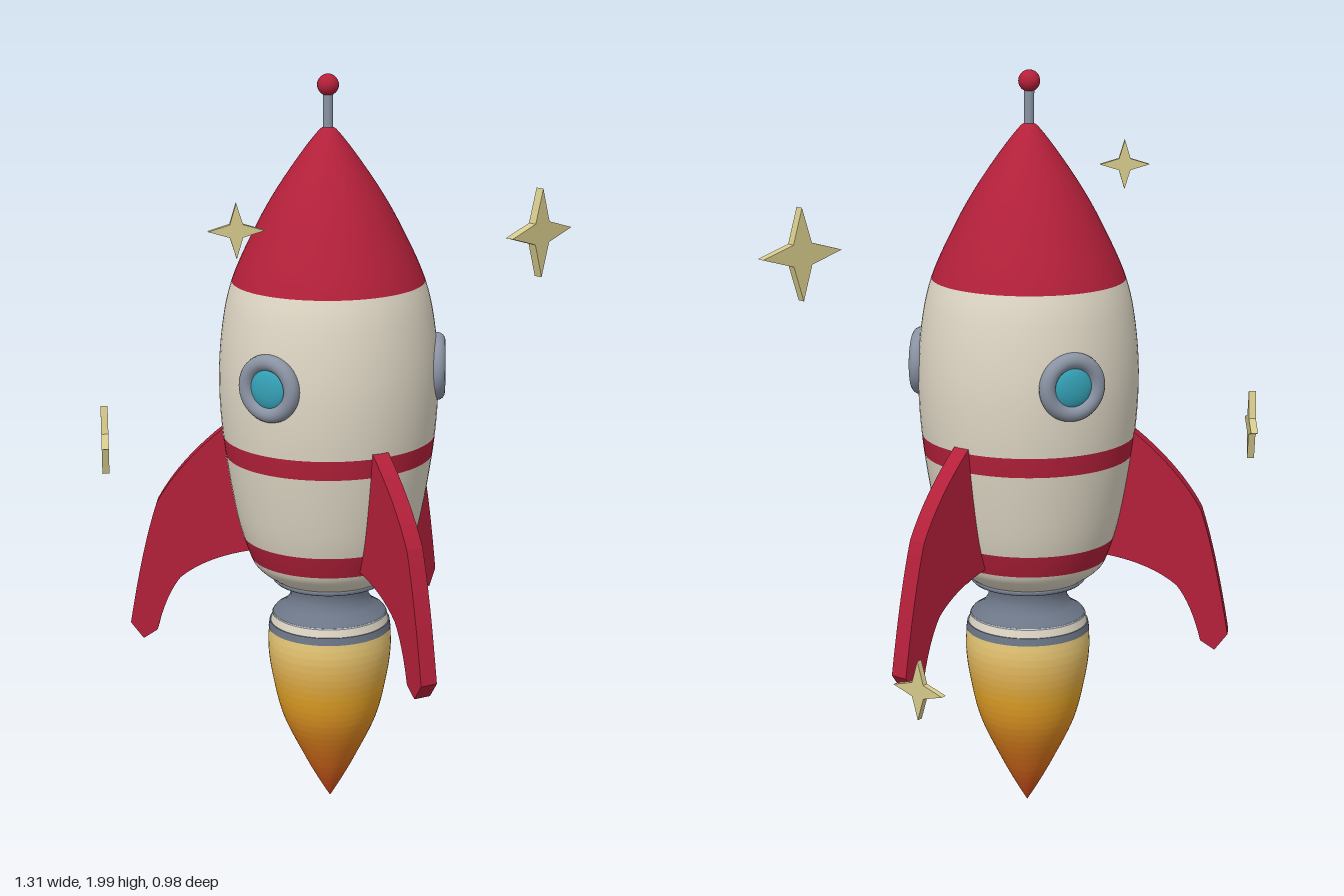
import * as THREE from 'three';

const RED = 0xb4203a, CREAM = 0xe0d8c6, STEEL = 0x8a93a3, DARK = 0x6c7687;
const GLASS = 0x35a3b8, STAR = 0xd6ca8c;

const material = (color) => new THREE.MeshStandardMaterial({ color });

function add(parent, name, geometry, color) {
  const mesh = new THREE.Mesh(geometry, material(color));
  mesh.name = name;
  parent.add(mesh);
  return mesh;
}

// Profiles are [radius, height] pairs, listed from bottom to top
function lathe(points, segments = 64) {
  return new THREE.LatheGeometry(points.map(([r, y]) => new THREE.Vector2(r, y)), segments);
}

// Smooth radius as a function of height
function radiusFunction(points) {
  const samples = new THREE.SplineCurve(points.map(([r, y]) => new THREE.Vector2(r, y))).getPoints(400);
  return (y) => {
    const i = Math.max(1, samples.findIndex((p) => p.y >= y));
    const a = samples[i - 1], b = samples[i];
    const t = THREE.MathUtils.clamp((y - a.y) / (b.y - a.y), 0, 1);
    return Math.max(0, a.x + (b.x - a.x) * t);
  };
}

// One slice of a smooth surface of revolution
function slice(radius, y0, y1, steps) {
  const points = [];
  for (let i = 0; i <= steps; i++) {
    const y = y0 + (y1 - y0) * i / steps;
    points.push([radius(y), y]);
  }
  return lathe(points);
}

function finGeometry() {
  const s = new THREE.Shape();
  s.moveTo(0.2, 1.07);
  s.lineTo(0.275, 1.07);
  s.quadraticCurveTo(0.4, 0.97, 0.46, 0.86);
  s.quadraticCurveTo(0.5, 0.74, 0.537, 0.52);
  s.lineTo(0.503, 0.475);
  s.lineTo(0.465, 0.5);
  s.quadraticCurveTo(0.44, 0.6, 0.4, 0.65);
  s.quadraticCurveTo(0.33, 0.71, 0.2, 0.73);
  s.closePath();
  const g = new THREE.ExtrudeGeometry(s, { depth: 0.046, bevelEnabled: false, curveSegments: 8 });
  g.translate(0, 0, -0.023);
  g.rotateY(-Math.PI / 2); // outward along +z
  return g;
}

function starGeometry(size) {
  const s = new THREE.Shape();
  for (let i = 0; i < 8; i++) {
    const r = i % 2 ? size * 0.33 : size;
    const a = i * Math.PI / 4;
    s[i ? 'lineTo' : 'moveTo'](r * Math.cos(a), r * Math.sin(a));
  }
  s.closePath();
  const depth = size * 0.2;
  return new THREE.ExtrudeGeometry(s, { depth, bevelEnabled: false }).translate(0, 0, -depth / 2);
}

export function createModel() {
  const model = new THREE.Group();
  model.name = 'rocketWithStars';
  const rocket = new THREE.Group();
  rocket.name = 'rocket';
  rocket.position.set(-0.053, 0, -0.047);
  model.add(rocket);

  // Hull: one smooth profile cut into coloured bands
  const hull = radiusFunction([
    [0.15, 0.655], [0.19, 0.685], [0.212, 0.72], [0.245, 0.83], [0.278, 1.03], [0.289, 1.2],
    [0.278, 1.35], [0.251, 1.47], [0.192, 1.6], [0.136, 1.7], [0.068, 1.8], [0.02, 1.86], [0, 1.872],
  ]);
  [
    ['hullBase', 0.655, 0.715, 8, CREAM],
    ['lowerStripe', 0.715, 0.775, 4, RED],
    ['lowerHull', 0.775, 1.0, 12, CREAM],
    ['upperStripe', 1.0, 1.052, 4, RED],
    ['upperHull', 1.052, 1.465, 20, CREAM],
    ['noseCone', 1.465, 1.872, 32, RED],
  ].forEach(([name, y0, y1, steps, color]) => add(rocket, name, slice(hull, y0, y1, steps), color));

  // Antenna
  add(rocket, 'antennaRod', new THREE.CylinderGeometry(0.013, 0.013, 0.11, 16), STEEL).position.y = 1.905;
  add(rocket, 'antennaBall', new THREE.SphereGeometry(0.028, 24, 16), RED).position.y = 1.972;

  // Engine
  add(rocket, 'baseRim', lathe([[0.08, 0.643], [0.146, 0.643], [0.153, 0.65], [0.153, 0.658], [0.146, 0.666]]), STEEL);
  add(rocket, 'nozzle', lathe([[0.155, 0.55], [0.148, 0.56], [0.12, 0.577], [0.105, 0.6], [0.105, 0.625], [0.112, 0.65]]), DARK);
  add(rocket, 'nozzleBand', new THREE.CylinderGeometry(0.153, 0.16, 0.028, 64), CREAM).position.y = 0.54;
  add(rocket, 'nozzleRing', new THREE.CylinderGeometry(0.162, 0.165, 0.02, 64), DARK).position.y = 0.52;

  // Flame: fades from pale yellow at the nozzle to red at the tip
  const flame = radiusFunction([
    [0, 0.01], [0.03, 0.06], [0.068, 0.13], [0.127, 0.255], [0.155, 0.37], [0.166, 0.45], [0.164, 0.512],
  ]);
  const stops = [0xd0401c, 0xe07a1c, 0xe8a828, 0xe8cc7c].map((c) => new THREE.Color(c));
  const bands = 24;
  for (let i = 0; i < bands; i++) {
    const y0 = 0.01 + 0.502 * i / bands;
    const t = (i + 0.5) / bands * 3, k = Math.floor(t);
    const color = stops[k].clone().lerp(stops[k + 1], t - k);
    add(rocket, 'flameBand' + (i + 1), slice(flame, y0, y0 + 0.502 / bands, 2), color);
  }

  // Three fins, with a porthole midway between each pair
  for (let i = 0; i < 3; i++) {
    const angle = i * Math.PI * 2 / 3;
    add(rocket, 'fin' + (i + 1), finGeometry(), RED).rotation.y = angle;

    const porthole = new THREE.Group();
    porthole.name = 'porthole' + (i + 1);
    const a = angle + Math.PI / 3;
    porthole.position.set(Math.sin(a) * 0.285, 1.235, Math.cos(a) * 0.285);
    porthole.rotation.y = a;
    add(porthole, 'portholeFrame', new THREE.TorusGeometry(0.068, 0.021, 16, 48), STEEL);
    const glass = add(porthole, 'portholeGlass', new THREE.SphereGeometry(0.056, 32, 16), GLASS);
    glass.scale.z = 0.35;
    rocket.add(porthole);
  }

  // Stars floating around: position, half size, turn
  [
    [0.535, 1.55, 0.045, 0.12, 0.29],
    [-0.475, 1.69, 0.28, 0.068, -0.36],
    [-0.615, 1.06, -0.235, 0.092, 1.18],
    [0.395, 0.52, -0.42, 0.078, -1.04],
  ].forEach(([x, y, z, size, turn], i) => {
    const star = add(model, 'star' + (i + 1), starGeometry(size), STAR);
    star.position.set(x, y, z);
    star.rotation.y = turn;
  });

  return model;
}
